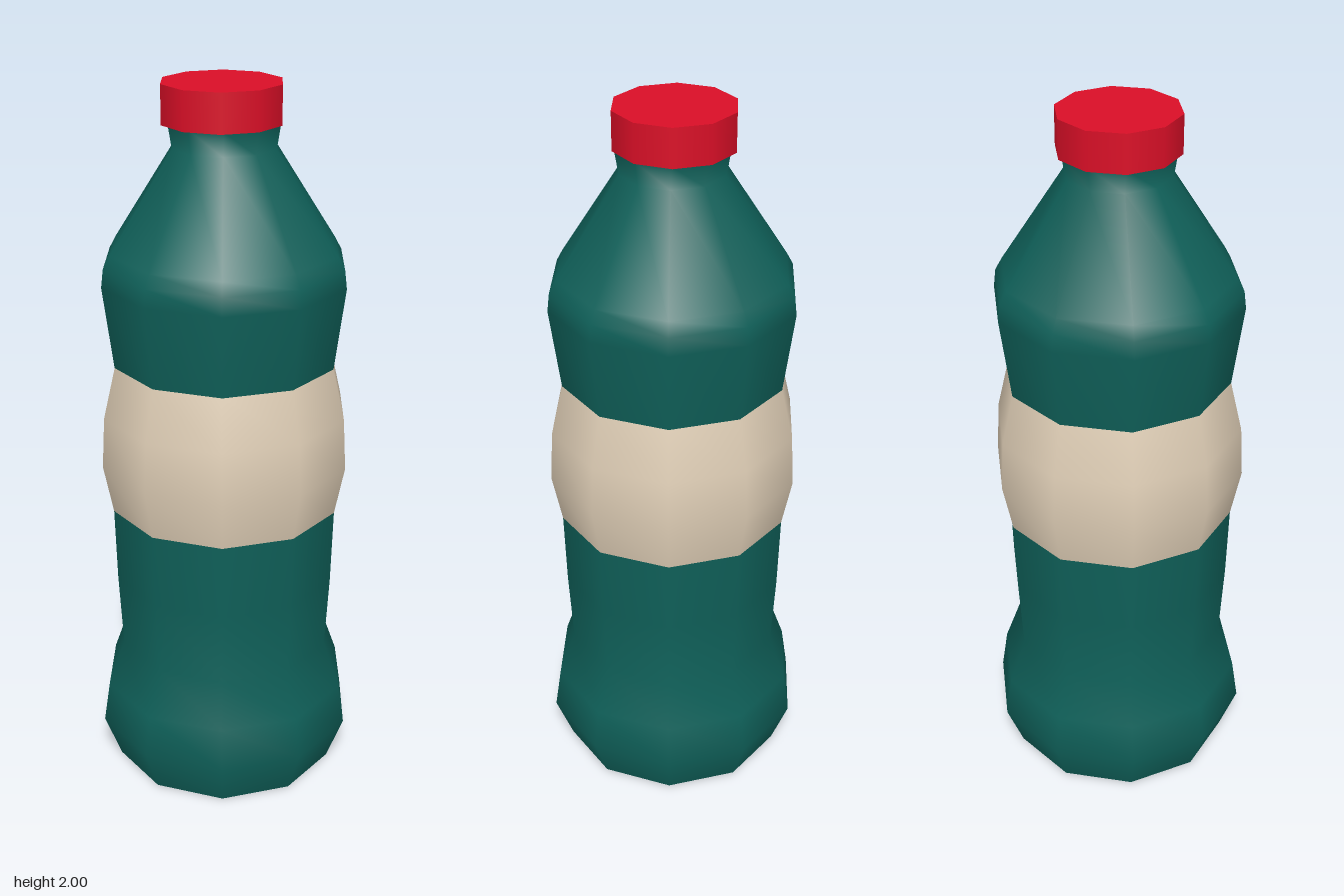
import * as THREE from 'three';

const SIDES = 10;

export function createModel() {
  const material = (name, color) => {
    const m = new THREE.MeshStandardMaterial({ color });
    m.name = name;
    return m;
  };
  const green = material('bottle green', 0x0f6059);
  const cream = material('label cream', 0xdfceb6);
  const red = material('cap red', 0xda0f27);

  const model = new THREE.Group();
  model.name = 'bottle';

  const add = (name, geometry, mat) => {
    const mesh = new THREE.Mesh(geometry, mat);
    mesh.name = name;
    model.add(mesh);
    return mesh;
  };
  // Each profile is a list of [radius, height], from bottom to top
  const lathe = (profile) =>
    new THREE.LatheGeometry(profile.map(([r, y]) => new THREE.Vector2(r, y)), SIDES);

  // Flared foot, waist and lower wall
  add('lowerBody', lathe([
    [0.325, 0], [0.374, 0.13], [0.356, 0.25], [0.308, 0.385], [0.32, 0.6], [0.326, 0.815],
  ]), green);

  // Bulging label band
  add('label', lathe([
    [0.326, 0.815], [0.354, 0.955], [0.346, 1.1], [0.312, 1.245],
  ]), cream);

  // Upper wall, sloping shoulder and neck
  add('shoulderAndNeck', lathe([
    [0.312, 1.245], [0.342, 1.475], [0.336, 1.525], [0.317, 1.56],
    [0.143, 1.832], [0.154, 1.9],
  ]), green);

  // Flat base facing down
  const base = add('base', new THREE.CircleGeometry(0.325, SIDES), green);
  base.rotation.set(Math.PI / 2, 0, Math.PI / 2);

  // Screw cap, set very slightly off centre
  const cap = add('cap', new THREE.CylinderGeometry(0.1645, 0.1645, 0.105, SIDES), red);
  cap.position.set(-0.007, 1.9475, -0.002);

  return model;
}
